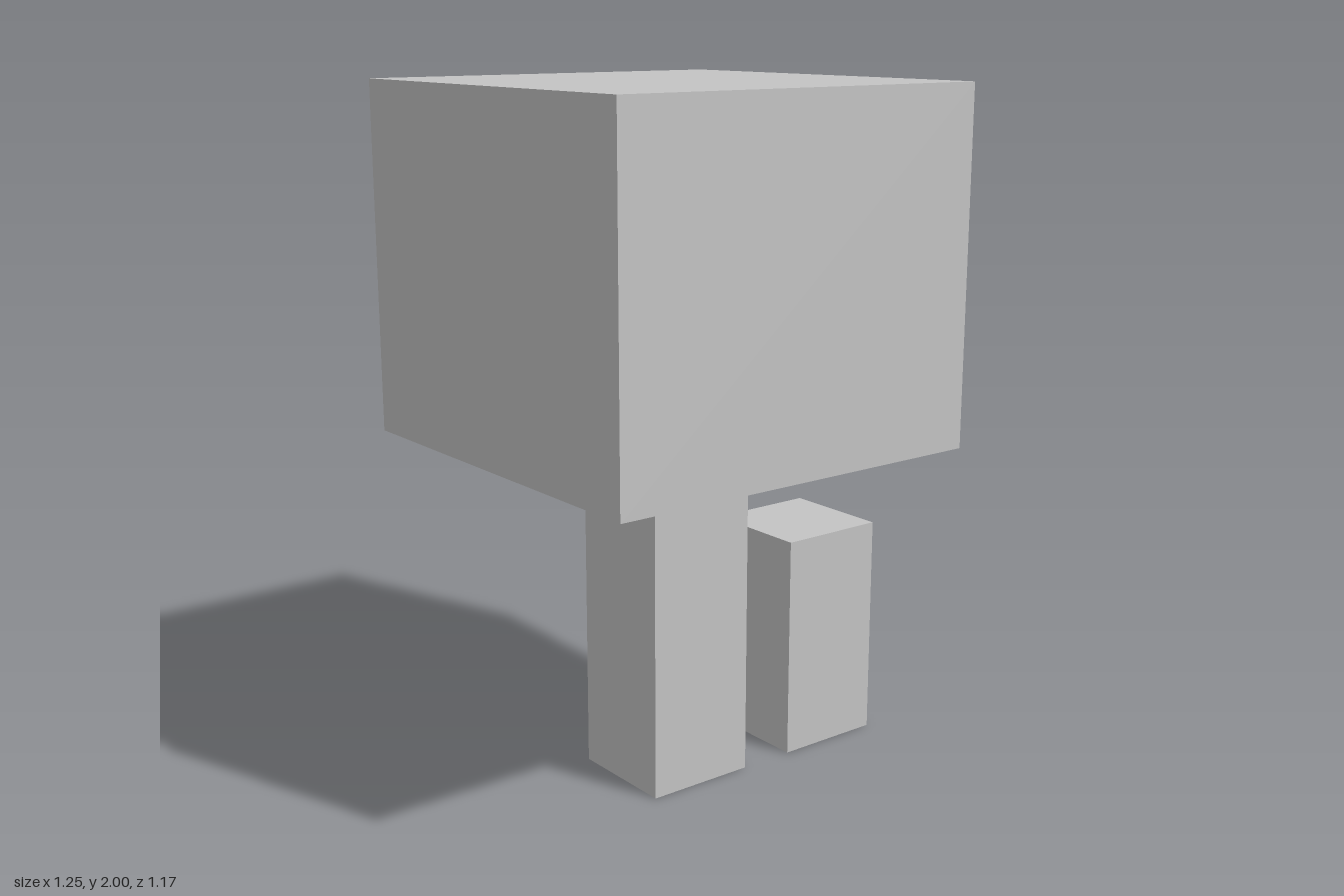
import * as THREE from 'three';

export function createModel() {
  const model = new THREE.Group();
  model.name = 'blockTree';

  const lightGrey = new THREE.MeshStandardMaterial({ color: 0xc4c4c4 });
  lightGrey.name = 'lightGrey';

  // Box standing on the given base height, centred on z = 0
  const addBlock = (name, width, height, x, base) => {
    const mesh = new THREE.Mesh(new THREE.BoxGeometry(width, height, width), lightGrey);
    mesh.name = name;
    mesh.position.set(x, base + height / 2, 0);
    model.add(mesh);
  };

  // Tree: square trunk under a large block crown
  addBlock('trunk', 0.333, 1, -0.042, 0);
  addBlock('crown', 1.166, 1, -0.042, 1);

  // Short free-standing post beside the trunk
  addBlock('post', 0.333, 0.667, 0.458, 0);

  return model;
}
